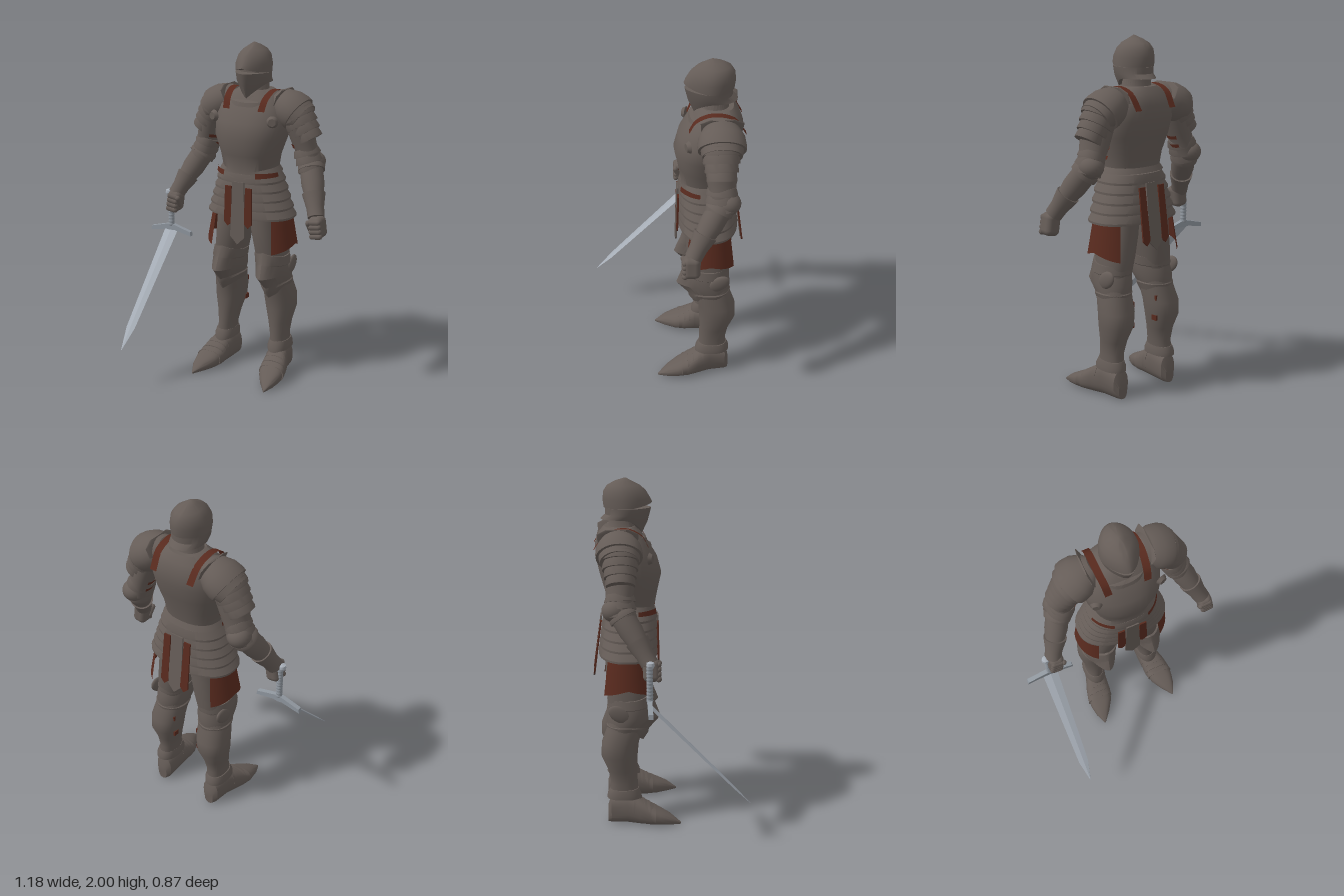
import * as THREE from 'three';
import { toCreasedNormals } from 'three/addons/utils/BufferGeometryUtils.js';
import { RoundedBoxGeometry } from 'three/addons/geometries/RoundedBoxGeometry.js';

const material = (name, color, side = THREE.FrontSide) => {
  const m = new THREE.MeshStandardMaterial({ color, side });
  m.name = name;
  return m;
};
const V = (x, y, z) => new THREE.Vector3(x, y, z);

// Stacked cross-sections, bottom to top: [y, x, halfWidth, zFront, zBack, frontRidge, frontDip]
function loft(rings, n = 32, e = 0.9, crease = 0.6) {
  const pos = [], idx = [];
  const pw = v => Math.sign(v) * Math.pow(Math.abs(v), e);
  for (const [y, x, rx, zf, zb, ridge = 0, dip = 0] of rings) {
    for (let i = 0; i < n; i++) {
      const a = i / n * Math.PI * 2, c = Math.cos(a), s = Math.sin(a);
      pos.push(x + rx * pw(c), y - (s > 0 ? dip * (1 - Math.abs(c)) : 0),
        (zf + zb) / 2 + (zf - zb) / 2 * pw(s) + ridge * Math.max(0, s) ** 5);
    }
  }
  for (let r = 0; r < rings.length - 1; r++) {
    for (let i = 0; i < n; i++) {
      const a = r * n + i, b = r * n + (i + 1) % n;
      idx.push(a, a + n, b, b, a + n, b + n);
    }
  }
  for (const r of [0, rings.length - 1]) {
    const [y, x, , zf, zb] = rings[r], c = pos.length / 3;
    pos.push(x, y, (zf + zb) / 2);
    for (let i = 0; i < n; i++) {
      const a = r * n + i, b = r * n + (i + 1) % n;
      r ? idx.push(c, b, a) : idx.push(c, a, b);
    }
  }
  const g = new THREE.BufferGeometry();
  g.setAttribute('position', new THREE.Float32BufferAttribute(pos, 3));
  g.setIndex(idx);
  return toCreasedNormals(g, crease);
}

// Turned limb section from a to b; profile holds [fraction along, radius]
function limb(a, b, profile, sx = 1, sz = 1, phi = 0, sweep = Math.PI * 2) {
  const d = b.clone().sub(a), len = d.length();
  const g = new THREE.LatheGeometry(profile.map(([t, r]) => new THREE.Vector2(r, t * len)), 28, phi, sweep);
  g.scale(sx, 1, sz);
  g.applyQuaternion(new THREE.Quaternion().setFromUnitVectors(V(0, 1, 0), d.normalize()));
  g.translate(a.x, a.y, a.z);
  return toCreasedNormals(g, 0.6);
}

// Overlapping plates whose lower edges stand out
function lames(n, r0, r1, flare) {
  const p = [], r = k => r0 + (r1 - r0) * k / n;
  for (let i = 0; i < n; i++) {
    p.push([i / n, r(i)], [(i + 0.85) / n, r(i + 0.85) + flare], [(i + 1) / n, r(i + 1) + flare]);
  }
  return p;
}

export function createModel() {
  const model = new THREE.Group();
  const body = new THREE.Group();
  body.name = 'knight';
  body.position.x = 0.055;
  model.add(body);

  const steel = material('armour steel', 0x655c57);
  const leather = material('brown leather', 0x582a1e, THREE.DoubleSide);
  const bladeSteel = material('blade steel', 0xa6adb6);
  const gripSteel = material('grip steel', 0x8f969e);
  const add = (name, geo, mat = steel, parent = body) => {
    const m = new THREE.Mesh(geo, mat);
    m.name = name;
    parent.add(m);
    return m;
  };

  // Helmet with a recessed eye slit
  add('helmetSkull', loft([
    [1.838, 0, 0.105, -0.12, -0.36, 0.03, -0.03], [1.885, 0, 0.103, -0.118, -0.366, 0.02],
    [1.93, 0, 0.092, -0.14, -0.36, 0.015], [1.96, 0, 0.068, -0.168, -0.34, 0.01],
    [1.982, 0, 0.034, -0.203, -0.3], [2.0, 0, 0.004, -0.235, -0.245]], 40, 1.08));
  add('helmetBevor', loft([
    [1.775, 0, 0.092, -0.16, -0.38, 0.012, 0.085], [1.80, 0, 0.098, -0.135, -0.352, 0.02, 0.04],
    [1.836, 0, 0.1, -0.125, -0.352, 0.03]], 40, 1));
  add('visorRecess', loft([[1.82, 0, 0.088, -0.17, -0.34], [1.88, 0, 0.088, -0.17, -0.34]]));
  add('gorget', loft([[1.66, 0, 0.13, -0.13, -0.375], [1.705, 0, 0.1, -0.155, -0.35],
    [1.73, 0, 0.08, -0.185, -0.335], [1.82, 0, 0.07, -0.21, -0.33]]));

  // Cuirass with a pointed lower edge
  add('cuirass', loft([
    [1.27, 0, 0.187, -0.078, -0.365, 0.01, 0.035], [1.3, 0, 0.167, -0.088, -0.35, 0.008, 0.03],
    [1.37, 0, 0.178, -0.07, -0.362, 0.008], [1.47, 0, 0.212, -0.05, -0.39, 0.01],
    [1.56, 0, 0.222, -0.072, -0.41, 0.008], [1.64, 0, 0.205, -0.112, -0.412],
    [1.70, 0, 0.16, -0.155, -0.39], [1.735, 0, 0.1, -0.185, -0.36]], 40, 0.85));
  add('breastplateRim', loft([[1.65, 0, 0.145, -0.112, -0.35, 0, 0.02], [1.68, 0, 0.135, -0.125, -0.35, 0, 0.01],
    [1.685, 0, 0.12, -0.145, -0.35]], 40, 0.85));

  // Stepped skirt plates
  const skirt = [], rows = 5;
  for (let i = 0; i < rows; i++) {
    const y = 1.0 + i * 0.053, w = 0.272 - i * 0.017, zf = -0.064, zb = -0.404 + i * 0.007;
    skirt.push([y, 0, w, zf, zb], [y + 0.012, 0, w, zf, zb], [y + 0.053, 0, w - 0.03, zf - 0.012, zb + 0.014]);
  }
  add('skirtPlates', loft(skirt, 40, 0.85, 0.4));

  // Hanging strips at front and back
  const strip = (name, mat, x, w, top, bottom, z, tilt) => {
    const h = top - bottom;
    const s = new THREE.Shape([[-w * 0.8, 0], [-w, -h + w], [0, -h], [w, -h + w], [w * 0.8, 0]]
      .map(p => new THREE.Vector2(...p)));
    const m = add(name, new THREE.ExtrudeGeometry(s, { depth: 0.009, bevelEnabled: false }), mat);
    m.position.set(x, top, z);
    m.rotation.x = tilt;
  };
  strip('frontStrip', steel, 0, 0.047, 1.22, 0.845, -0.066, -0.02);
  strip('backStrip', steel, 0, 0.047, 1.22, 0.85, -0.389, 0.13);
  for (const s of [-1, 1]) {
    strip('frontLeatherStrip', leather, s * 0.066, 0.025, 1.19, 0.95, -0.068, -0.02);
    strip('backLeatherStrip', leather, s * 0.068, 0.026, 1.2, 0.88, -0.391, 0.14);
  }

  for (const s of [-1, 1]) {
    const P = (x, y, z) => V(s * x, y, z);

    // Leather over the shoulder, built as a ribbon
    const path = new THREE.CatmullRomCurve3([V(0.112, 1.63, -0.116), V(0.12, 1.695, -0.152), V(0.13, 1.737, -0.24),
      V(0.128, 1.71, -0.355), V(0.12, 1.62, -0.419)]).getPoints(16);
    const band = new THREE.PlaneGeometry(0.042, 1, 1, 16);
    path.forEach((p, i) => {
      for (const k of [0, 1]) band.attributes.position.setXYZ(i * 2 + k, s * p.x + (k - 0.5) * 0.042, p.y, p.z);
    });
    band.computeVertexNormals();
    add('shoulderStrap', band, leather);

    // Waist strap and thigh guard: curved sheets around the side
    const sheet = (name, x, z, rt, rb, sz, y0, y1, a0, a1, drop) => {
      const start = s > 0 ? a0 : Math.PI * 2 - a1;
      const g = new THREE.CylinderGeometry(rt, rb, y1 - y0, 14, 1, true, start, a1 - a0);
      const p = g.attributes.position;
      for (let i = 0; i < p.count; i++) {
        if (p.getY(i) < 0) p.setY(i, p.getY(i) - drop * Math.abs(p.getZ(i)) / rb);
      }
      g.scale(1, 1, sz);
      g.translate(s * x, (y0 + y1) / 2, z);
      add(name, g, leather);
    };
    sheet('waistStrap', 0, -0.222, 0.202, 0.208, 0.83, 1.257, 1.278, 0.52, 1.3, 0.01);
    sheet('thighGuard', 0.1, -0.24, 0.15, 0.184, 0.92, 0.845, 1.01, 0.58, 2.5, 0.056);

    // Shoulder, arm and elbow
    add('pauldronCap', limb(P(0.13, 1.695, -0.282), P(0.3, 1.585, -0.278),
      [[-0.05, 0], [0, 0.05], [0.2, 0.08], [0.45, 0.102], [0.7, 0.108], [0.82, 0.106], [0.82, 0.094], [1, 0.088], [1, 0]], 1, 1.2));
    add('pauldronPlates', limb(P(0.25, 1.62, -0.275), P(0.348, 1.465, -0.275),
      [[0, 0], ...lames(4, 0.098, 0.064, 0.011), [1, 0]], 1, 1.06));
    add('pauldronCrest', limb(P(0.16, 1.66, -0.285), P(0.19, 1.742, -0.285),
      [[0, 0.05], [0.7, 0.052], [1, 0.03], [1, 0]], 0.16, 2.2));
    const disc = add('shoulderDisc', new THREE.CylinderGeometry(0.022, 0.034, 0.02, 20));
    disc.position.set(s * 0.19, 1.58, -0.105);
    disc.rotation.set(Math.PI / 2, 0, -s * 0.35);
    const shoulder = P(0.27, 1.56, -0.27), elbow = P(0.35, 1.33, -0.288);
    add('upperArm', limb(shoulder, elbow, [[0, 0.075], [0.5, 0.068], [0.72, 0.062], [1, 0.066]], 1, 1.2));
    for (const t of [0.45, 0.66]) {
      add('armStrap', limb(shoulder, elbow, [[t, 0.073], [t + 0.08, 0.072]], 1, 1.2,
        (s > 0 ? 0.3 : 1.2) * Math.PI, 0.5 * Math.PI), leather);
    }
    add('elbowLames', limb(P(0.318, 1.415, -0.28), P(0.362, 1.295, -0.275),
      [[0, 0.06], ...lames(3, 0.064, 0.066, 0.01), [1, 0.05]], 1, 1.15));
    const cop = add('elbowCop', new THREE.SphereGeometry(1, 24, 14));
    cop.scale.set(0.068, 0.062, 0.07);
    cop.position.copy(P(0.358, 1.335, -0.31));
    add('forearm', limb(P(0.35, 1.33, -0.285), P(0.455, 1.1, -0.14),
      [[0, 0.06], [0.1, 0.077], [0.17, 0.078], [0.17, 0.066], [0.45, 0.066], [0.85, 0.047], [1, 0.044]]));
    add('gauntletCuff', limb(P(0.418, 1.18, -0.19), P(0.467, 1.065, -0.125),
      [[0, 0.04], [0, 0.066], [0.1, 0.064], [0.6, 0.05], [1, 0.048], [1, 0]]));

    // Clenched gauntlet; the sword hand sits closer in and higher
    const fist = new THREE.Group();
    fist.name = 'gauntlet';
    fist.position.copy(s > 0 ? V(0.482, 1.015, -0.115) : V(-0.462, 1.03, -0.115));
    fist.rotation.z = s * 0.15;
    body.add(fist);
    add('palm', new RoundedBoxGeometry(0.086, 0.125, 0.095, 3, 0.03), steel, fist);
    for (let i = 0; i < 4; i++) {
      const f = add('finger', new THREE.CapsuleGeometry(0.017, 0.045, 4, 10), steel, fist);
      f.rotation.z = Math.PI / 2;
      f.position.set(0, -0.048 + i * 0.027, 0.037);
    }
    const thumb = add('thumb', new THREE.CapsuleGeometry(0.016, 0.05, 4, 10), steel, fist);
    thumb.position.set(-s * 0.036, 0.01, 0.03);
    thumb.rotation.x = 0.5;

    // Leg armour
    add('thigh', loft([[0.7, s * 0.145, 0.088, -0.14, -0.35], [0.8, s * 0.132, 0.095, -0.12, -0.362, 0.006],
      [0.92, s * 0.115, 0.1, -0.11, -0.365, 0.006], [1.08, s * 0.1, 0.098, -0.1, -0.37]]));
    add('kneeCop', loft([
      [0.565, s * 0.157, 0.09, -0.175, -0.36, 0.02, 0.06], [0.605, s * 0.155, 0.099, -0.15, -0.365, 0.025, 0.055],
      [0.61, s * 0.155, 0.093, -0.15, -0.36, 0.03, 0.035], [0.655, s * 0.15, 0.102, -0.112, -0.362, 0.06, 0.005],
      [0.71, s * 0.145, 0.098, -0.112, -0.35, 0.03, -0.02], [0.715, s * 0.145, 0.103, -0.11, -0.355, 0.025, -0.02],
      [0.765, s * 0.138, 0.1, -0.112, -0.355, 0.01, -0.035]], 36, 1, 0.5));
    const wing = add('kneeWing', new THREE.SphereGeometry(1, 20, 12));
    wing.scale.set(0.018, 0.045, 0.07);
    wing.rotation.x = 0.6;
    wing.position.set(s * 0.238, 0.69, -0.29);
    add('greave', loft([[0.17, s * 0.185, 0.056, -0.185, -0.355], [0.25, s * 0.18, 0.054, -0.195, -0.345, 0.006],
      [0.33, s * 0.176, 0.068, -0.2, -0.36, 0.01], [0.42, s * 0.173, 0.09, -0.198, -0.398, 0.01],
      [0.5, s * 0.168, 0.096, -0.19, -0.395, 0.01], [0.58, s * 0.158, 0.092, -0.165, -0.365, 0.01],
      [0.7, s * 0.146, 0.086, -0.15, -0.345]]));
    for (const y of [0.41, 0.53]) {
      const buckle = add('greaveBuckle', new THREE.BoxGeometry(0.012, 0.03, 0.035), leather);
      buckle.position.set(s * 0.087, y, -0.33);
    }
    add('ankleCuff', loft([[0.16, s * 0.186, 0.066, -0.165, -0.368, 0, 0.015], [0.185, s * 0.185, 0.066, -0.168, -0.366, 0, 0.01],
      [0.215, s * 0.184, 0.058, -0.185, -0.352]]));

    // Pointed shoe, laid out heel to toe, with overlapping instep plates
    const shoe = loft([
      [-0.365, s * 0.18, 0.03, 0, -0.1], [-0.345, s * 0.18, 0.053, 0, -0.16], [-0.25, s * 0.187, 0.062, 0, -0.185],
      [-0.18, s * 0.202, 0.074, 0, -0.16], [-0.12, s * 0.211, 0.08, 0, -0.118], [-0.06, s * 0.221, 0.07, 0, -0.088],
      [0, s * 0.234, 0.045, 0, -0.058], [0.062, s * 0.246, 0.004, 0, -0.012]], 28, 0.8);
    add('shoe', shoe.rotateX(Math.PI / 2));
    for (let i = 0; i < 4; i++) {
      const z = -0.215 + i * 0.032, x = s * (0.194 + i * 0.006), w = 0.069 + i * 0.003, h = 0.176 - i * 0.02;
      add('shoePlate', loft([[z, x, w, -0.005, -h], [z + 0.032, x + s * 0.005, w + 0.003, -0.005, -h + 0.014]], 24, 0.8)
        .rotateX(Math.PI / 2));
    }
  }

  // Sword: upright grip, drooping guard, blade slanting forward
  const sword = new THREE.Group();
  sword.name = 'sword';
  sword.position.set(-0.448, 0.84, -0.127);
  model.add(sword);
  const wrap = [[0, 0]];
  for (let i = 0; i <= 10; i++) wrap.push([i / 10, 0.016], [i / 10 + 0.05, 0.019]);
  add('grip', limb(V(0, 0.02, 0), V(0, 0.22, 0), wrap), gripSteel, sword);
  add('pommel', limb(V(-0.01, 0.215, 0.004), V(-0.01, 0.255, 0.004),
    [[0, 0], [0, 0.016], [0.4, 0.023], [0.8, 0.02], [1, 0]]), bladeSteel, sword);
  const half = [[0.025, 0.03], [0.138, 0.0], [0.143, -0.026], [0.03, -0.004]];
  const outline = [[0, 0.036], ...half, [0, -0.008], ...half.map(([x, y]) => [-x, y]).reverse()];
  const guard = new THREE.ExtrudeGeometry(new THREE.Shape(outline.map(p => new THREE.Vector2(...p))),
    { depth: 0.026, bevelEnabled: false });
  add('guard', guard.translate(0, 0, -0.013), gripSteel, sword);
  const blade = loft([[-0.815, 0, 0.002, 0.001, -0.001], [-0.67, 0, 0.029, 0.005, -0.005],
    [0, 0, 0.045, 0.007, -0.007]], 4, 1, 0.1);
  add('blade', blade.rotateX(-0.758), bladeSteel, sword);

  return model;
}
